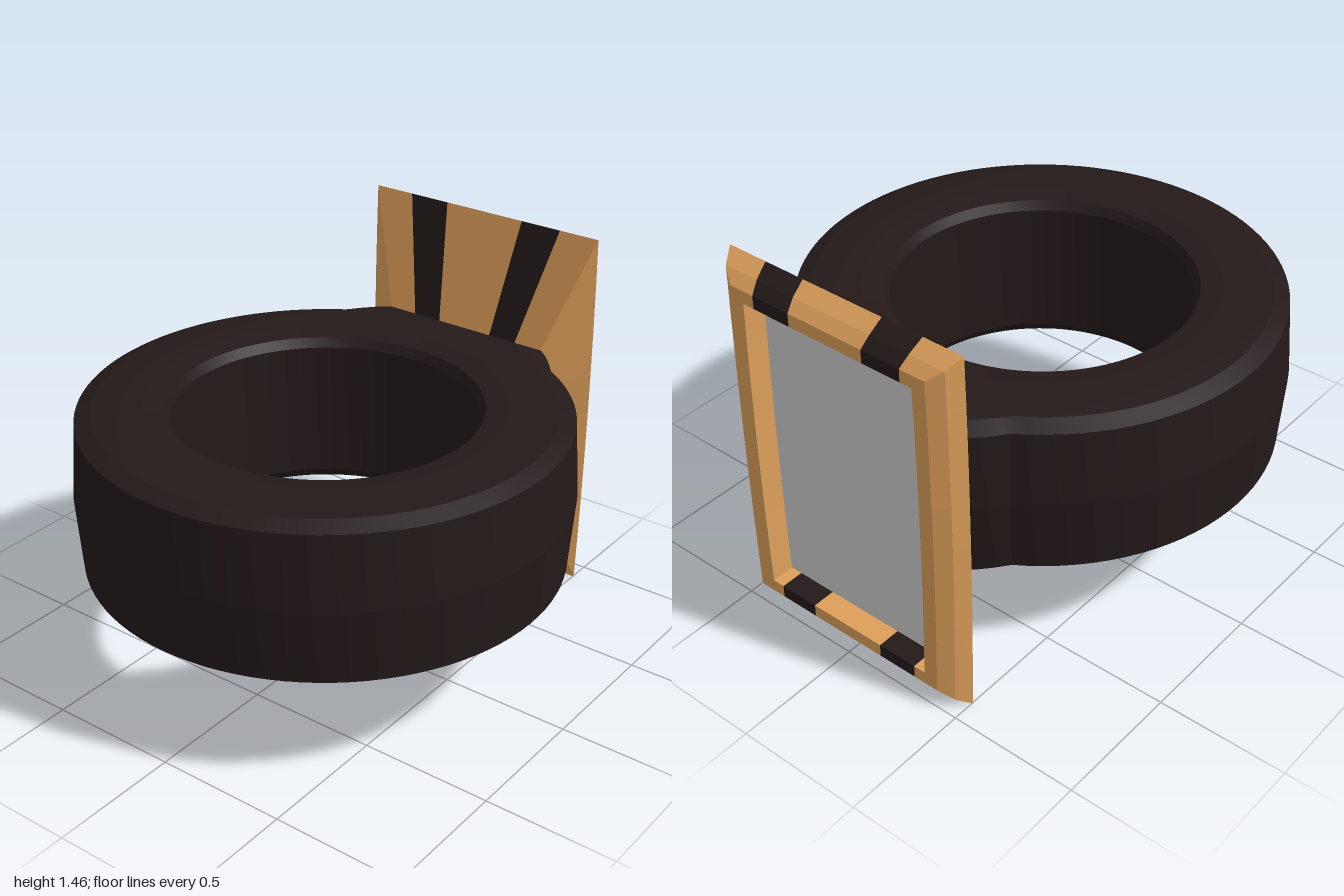
import * as THREE from 'three';
import { toCreasedNormals } from 'three/addons/utils/BufferGeometryUtils.js';

const dark = new THREE.MeshStandardMaterial({ color: 0x241919 });
const wood = new THREE.MeshStandardMaterial({ color: 0xdd9f5a });
const grey = new THREE.MeshStandardMaterial({ color: 0xcccccc });

function mesh(name, geometry, material) {
  const m = new THREE.Mesh(geometry, material);
  m.name = name;
  return m;
}

// Round band, widened into two shoulders that meet a flat seat for the head
function makeBand() {
  const midY = 0.73, centreZ = 0.085, seatZ = -0.8;
  const half = [[0.91, 0], [0.89, 0.28], [0.83, 0.305], [0.72, 0.313], [0.65, 0.313], [0.57, 0.3], [0.55, 0.265]];
  const top = half.map(([r, y]) => new THREE.Vector2(r, midY + y));
  const bottom = half.slice(1).reverse().map(([r, y]) => new THREE.Vector2(r, midY - y));
  const geo = new THREE.LatheGeometry([bottom[0], ...bottom.slice(1), ...top, bottom[0].clone()], 100);

  const flatEnd = THREE.MathUtils.degToRad(21.6);
  const shoulderEnd = THREE.MathUtils.degToRad(32.4);
  const flat = centreZ - seatZ;
  const p = geo.attributes.position;
  for (let i = 0; i < p.count; i++) {
    const x = p.getX(i), z = p.getZ(i), r = Math.hypot(x, z);
    const a = Math.abs(Math.atan2(x, -z));
    const bump = a <= flatEnd
      ? flat / Math.cos(a) - flat
      : (flat / Math.cos(flatEnd) - flat) * Math.max(0, (shoulderEnd - a) / (shoulderEnd - flatEnd));
    const k = 1 + bump * THREE.MathUtils.clamp((r - 0.57) / 0.32, 0, 1) / r;
    p.setXYZ(i, x * k, p.getY(i), Math.max(z * k + centreZ, seatZ));
  }
  geo.deleteAttribute('uv');
  geo.deleteAttribute('normal');
  return mesh('band', toCreasedNormals(geo, 0.12), dark);
}

// One rectangular section of the head: clockwise from top left, with slightly bowed sides
const SIDE_STEPS = 8;
function section({ z, w, y0, y1, s1, s2, bow }) {
  const pts = [];
  const columns = [-w, -s2, -s1, s1, s2, w];
  const side = (sign, t) => {
    const u = 2 * t - 1;
    return [sign * (w + bow * (1 - u * u)), y0 + (y1 - y0) * t, z];
  };
  columns.forEach((x) => pts.push([x, y1, z]));
  for (let i = 1; i < SIDE_STEPS; i++) pts.push(side(1, 1 - i / SIDE_STEPS));
  columns.slice().reverse().forEach((x) => pts.push([x, y0, z]));
  for (let i = 1; i < SIDE_STEPS; i++) pts.push(side(-1, i / SIDE_STEPS));
  return pts;
}

function facets(points) {
  const geo = new THREE.BufferGeometry();
  geo.setAttribute('position', new THREE.Float32BufferAttribute(points.flat(), 3));
  geo.computeVertexNormals();
  return geo;
}

// Flared head with bevelled rim, recessed opening and inlaid stripes
function makeHead() {
  const sections = [
    { z: -0.8, w: 0.35, y0: 0.45, y1: 1.01, s1: 0.117, s2: 0.233, bow: 0 },
    { z: -0.912, w: 0.503, y0: 0, y1: 1.457, s1: 0.17, s2: 0.338, bow: 0.009 },
    { z: -0.965, w: 0.472, y0: 0.04, y1: 1.417, s1: 0.165, s2: 0.328, bow: 0.009 },
    { z: -1, w: 0.42, y0: 0.08, y1: 1.377, s1: 0.158, s2: 0.317, bow: 0.009 },
    { z: -1, w: 0.365, y0: 0.13, y1: 1.327, s1: 0.158, s2: 0.317, bow: 0.009 },
    { z: -0.91, w: 0.365, y0: 0.13, y1: 1.327, s1: 0.158, s2: 0.317, bow: 0.009 },
  ].map(section);

  const n = sections[0].length;
  const bottomStart = 5 + SIDE_STEPS;
  const stripes = [1, 3, bottomStart + 1, bottomStart + 3];
  const body = [], inlay = [];
  for (let i = 0; i < sections.length - 1; i++) {
    const a = sections[i], b = sections[i + 1];
    for (let j = 0; j < n; j++) {
      const k = (j + 1) % n;
      (stripes.includes(j) ? inlay : body).push(a[j], a[k], b[k], a[j], b[k], b[j]);
    }
  }

  // Flat panel closing the recess
  const rim = sections[sections.length - 1];
  const centre = [0, 0.7285, -0.91];
  const panel = rim.flatMap((pt, j) => [centre, pt, rim[(j + 1) % n]]);

  const head = new THREE.Group();
  head.name = 'head';
  head.add(
    mesh('headFrame', facets(body), wood),
    mesh('inlaidStripes', facets(inlay), dark),
    mesh('facePanel', facets(panel), grey),
  );
  return head;
}

export function createModel() {
  const model = new THREE.Group();
  model.name = 'ring';
  model.add(makeBand(), makeHead());
  return model;
}
